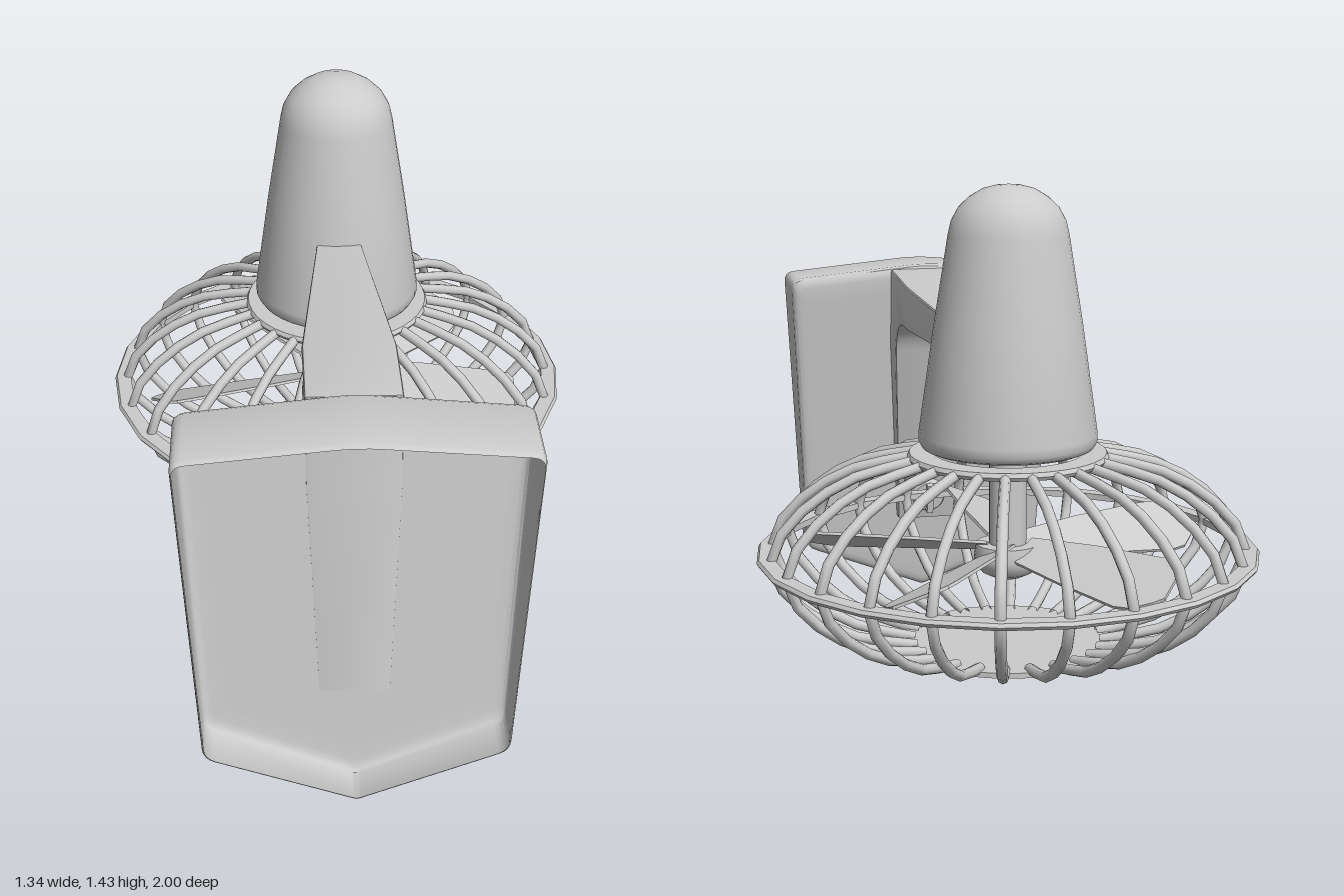
import * as THREE from 'three';
import { toCreasedNormals } from 'three/addons/utils/BufferGeometryUtils.js';

const material = new THREE.MeshStandardMaterial({ color: 0xcccccc, side: THREE.DoubleSide });
const V2 = (x, y) => new THREE.Vector2(x, y);

function add(parent, name, geometry, x = 0, y = 0, z = 0) {
  const mesh = new THREE.Mesh(geometry, material);
  mesh.name = name;
  mesh.position.set(x, y, z);
  parent.add(mesh);
  return mesh;
}

// Outline with each corner replaced by a short curve
function roundedOutline(corners, radius, steps = 4) {
  const out = [];
  corners.forEach((c, i) => {
    const prev = corners[(i + corners.length - 1) % corners.length];
    const next = corners[(i + 1) % corners.length];
    const a = c.clone().add(prev.clone().sub(c).setLength(radius[i]));
    const b = c.clone().add(next.clone().sub(c).setLength(radius[i]));
    out.push(...new THREE.QuadraticBezierCurve(a, c, b).getPoints(steps));
  });
  return out;
}

// Wall shell, open at +z, with a sloping panel on its fan side
function wallShell() {
  const outline = roundedOutline(
    [V2(0, 0.003), V2(0.388, 0.157), V2(0.433, 1.06), V2(0, 1.102), V2(-0.433, 1.06), V2(-0.388, 0.157)],
    [0.012, 0.03, 0.03, 0.06, 0.03, 0.03]);
  const panelZ = y => 0.89 - 0.125 * y / 1.1;
  // depth fraction, inset
  const rings = [[0, 0.006], [0.03, 0.002], [0.07, 0], [0.89, 0], [0.95, 0.004], [0.985, 0.012], [1, 0.025], [1, 0.06], [1, 0.43]];
  const n = outline.length, pos = [], index = [];
  for (const [t, inset] of rings) {
    for (const p of outline) {
      const x = p.x * (1 - inset / 0.43);
      const y = 0.55 + (p.y - 0.55) * (1 - inset / 0.43);
      pos.push(x, y, 1 - t * (1 - panelZ(y)));
    }
  }
  for (let r = 0; r < rings.length - 1; r++) {
    for (let i = 0; i < n; i++) {
      const a = r * n + i, b = r * n + (i + 1) % n;
      index.push(a, a + n, b, b, a + n, b + n);
    }
  }
  const g = new THREE.BufferGeometry();
  g.setAttribute('position', new THREE.Float32BufferAttribute(pos, 3));
  g.setIndex(index);
  return toCreasedNormals(g, 0.6);
}

// Bent bracket: side profile extruded across, then narrowed toward both ends
function bracketArm() {
  const s = new THREE.Shape();
  s.moveTo(0.763, 1.078);
  s.lineTo(0.7, 1.076);
  s.lineTo(0.5, 1.06);
  s.lineTo(-0.13, 1.003);
  s.lineTo(-0.22, 0.996);
  s.lineTo(-0.22, 0.94);
  s.lineTo(0.5, 0.94);
  s.lineTo(0.6, 0.94);
  s.quadraticCurveTo(0.68, 0.935, 0.705, 0.84);
  s.lineTo(0.79, 0.42);
  s.lineTo(0.832, 0.262);
  s.lineTo(0.855, 0.262);
  s.lineTo(0.789, 0.84);
  s.closePath();
  const g = new THREE.ExtrudeGeometry(s, {
    depth: 1.84, bevelEnabled: true, bevelThickness: 0.08, bevelSize: 0.008, bevelSegments: 2, curveSegments: 8,
  });
  g.translate(0, 0, -0.92);
  const p = g.attributes.position;
  for (let i = 0; i < p.count; i++) {
    const z = p.getX(i), y = p.getY(i);
    const along = THREE.MathUtils.mapLinear(THREE.MathUtils.clamp(z, -0.15, 0.5), -0.15, 0.5, 0.062, 0.119);
    const down = THREE.MathUtils.mapLinear(THREE.MathUtils.clamp(y, 0.255, 0.84), 0.255, 0.84, 0.092, 0.12);
    p.setXYZ(i, -p.getZ(i) * Math.min(along, down), y, z);
  }
  g.deleteAttribute('normal');
  return toCreasedNormals(g, 0.5);
}

function lathe(points, segments = 40, crease = 0.7) {
  return toCreasedNormals(new THREE.LatheGeometry(points.map(p => V2(...p)), segments), crease);
}

export function createModel() {
  const model = new THREE.Group();
  model.name = 'wallFan';
  add(model, 'wallBase', wallShell());
  add(model, 'bracketArm', bracketArm());

  // Switch knob with a grip ridge near the foot of the bracket
  const knob = new THREE.Group();
  knob.name = 'switchKnob';
  knob.position.set(0, 0.342, 0.795);
  knob.rotation.x = -Math.PI / 2 - 0.18;
  model.add(knob);
  add(knob, 'knobBody', lathe([[0, -0.03], [0.054, -0.03], [0.054, 0.018], [0.048, 0.026], [0, 0.026]], 20));
  add(knob, 'knobGrip', new THREE.BoxGeometry(0.02, 0.035, 0.095), 0, 0.034, 0);

  const fan = new THREE.Group();
  fan.name = 'fanHead';
  fan.position.z = -0.33;
  model.add(fan);

  // Motor housing, shaft and hub
  add(fan, 'motorHousing', lathe([
    [0, 0.746], [0.212, 0.746], [0.228, 0.753], [0.237, 0.768], [0.237, 0.79], [0.195, 1.08], [0.158, 1.31],
    [0.15, 1.345], [0.131, 1.38], [0.103, 1.407], [0.068, 1.428], [0.034, 1.437], [0, 1.44],
  ]));
  add(fan, 'motorShaft', new THREE.CylinderGeometry(0.05, 0.05, 0.3, 20), 0, 0.61, 0);
  add(fan, 'bladeHub', lathe([
    [0, 0.388], [0.04, 0.393], [0.07, 0.408], [0.088, 0.432], [0.09, 0.45], [0.085, 0.485], [0, 0.485],
  ], 24));

  // Five pitched blades
  const bladeShape = new THREE.Shape([
    [0.05, -0.05], [0.25, -0.085], [0.46, -0.113], [0.505, -0.105], [0.55, -0.065], [0.568, -0.04],
    [0.535, 0.08], [0.515, 0.097], [0.47, 0.098], [0.25, 0.08], [0.05, 0.05],
  ].map(p => V2(...p)));
  const bladeGeometry = new THREE.ExtrudeGeometry(bladeShape, { depth: 0.008, bevelEnabled: false });
  bladeGeometry.translate(0, 0, -0.004).rotateX(-Math.PI / 2 + 0.42);
  for (let i = 0; i < 5; i++) {
    const blade = add(fan, 'fanBlade', bladeGeometry, 0, 0.475, 0);
    blade.rotation.y = THREE.MathUtils.degToRad(-21 + 72 * i);
  }

  // Guard: twenty-four bowed wires, an outer band, a collar and a bottom plate
  const wire = new THREE.CatmullRomCurve3([
    [0.25, 0.722], [0.42, 0.681], [0.54, 0.61], [0.61, 0.535], [0.635, 0.467],
    [0.61, 0.4], [0.54, 0.325], [0.42, 0.253], [0.25, 0.216],
  ].map(([x, y]) => new THREE.Vector3(x, y, 0)));
  const wireGeometry = new THREE.TubeGeometry(wire, 12, 0.0145, 8);
  for (let i = 0; i < 24; i++) {
    add(fan, 'guardWire', wireGeometry).rotation.y = i * Math.PI / 12;
  }
  add(fan, 'guardBand', lathe([[0.625, 0.458], [0.666, 0.458], [0.672, 0.467], [0.666, 0.476], [0.625, 0.476], [0.625, 0.458]], 24, 0.4));
  add(fan, 'guardCollar', lathe([[0.2, 0.716], [0.262, 0.716], [0.268, 0.726], [0.262, 0.737], [0.2, 0.737], [0.2, 0.716]]));
  add(fan, 'guardBottomPlate', new THREE.CylinderGeometry(0.285, 0.285, 0.014, 40), 0, 0.21, 0);
  return model;
}
